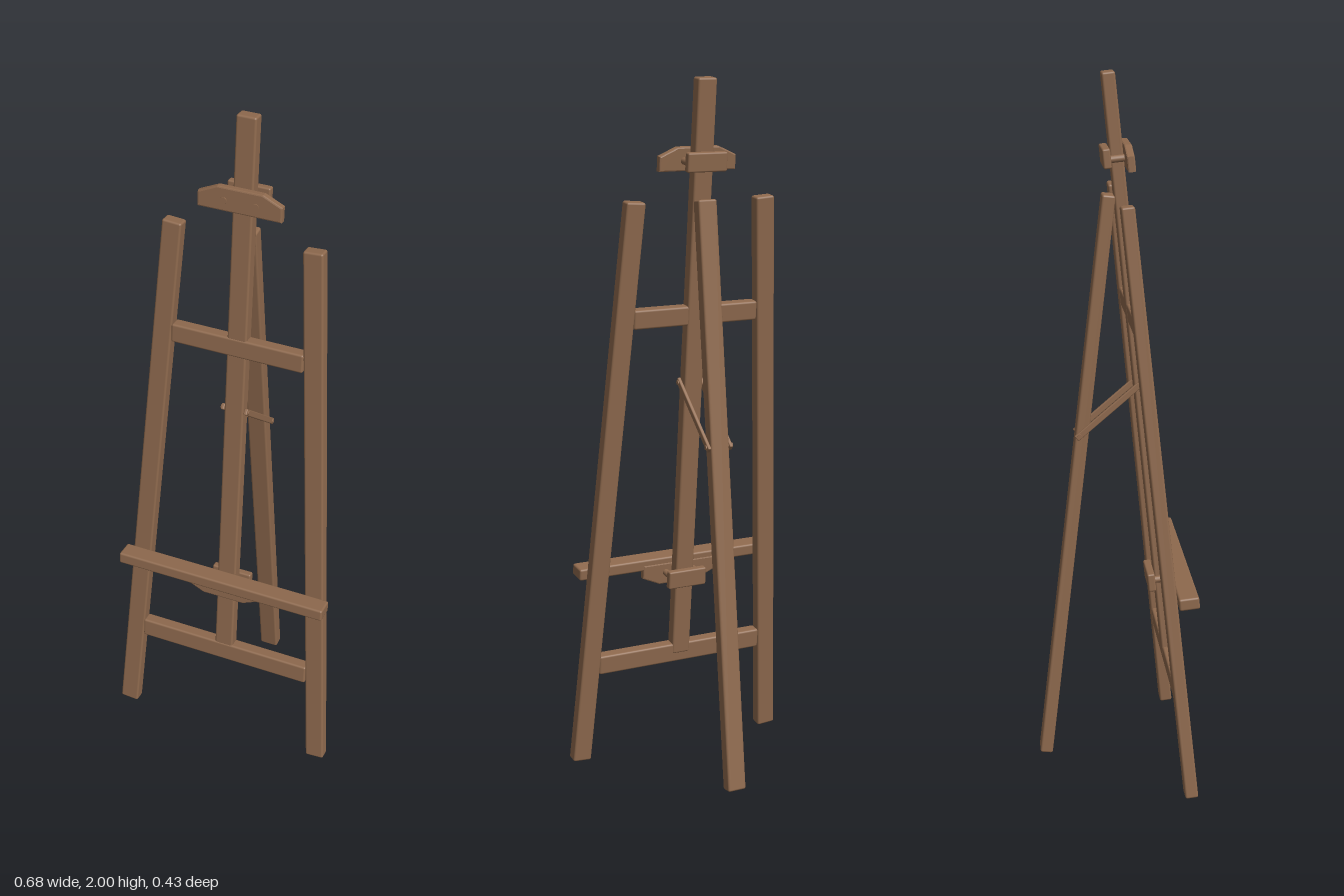
import * as THREE from 'three';
import { RoundedBoxGeometry } from 'three/addons/geometries/RoundedBoxGeometry.js';

const WIDTH = 0.056, DEPTH = 0.037; // timber section
const LEAN = 0.105;                 // backward tilt of the front frame

export function createModel() {
  const wood = new THREE.MeshStandardMaterial({ color: 0x8f6a4e });
  wood.name = 'brown wood';

  const add = (parent, name, geometry, x = 0, y = 0, z = 0) => {
    const mesh = new THREE.Mesh(geometry, wood);
    mesh.name = name;
    mesh.position.set(x, y, z);
    parent.add(mesh);
    return mesh;
  };
  const block = (w, h, d, r = 0.006) => new RoundedBoxGeometry(w, h, d, 2, r);

  // Upright timber running between two points of a group's xy plane
  const beam = (parent, name, x0, y0, x1, y1) => {
    const dx = x1 - x0, dy = y1 - y0;
    const mesh = add(parent, name, block(WIDTH, Math.hypot(dx, dy), DEPTH), (x0 + x1) / 2, (y0 + y1) / 2);
    mesh.rotation.z = -Math.atan2(dx, dy);
    return mesh;
  };

  // Round peg along an axis
  const peg = (parent, name, radius, length, axis, x, y, z) => {
    const mesh = add(parent, name, new THREE.CylinderGeometry(radius, radius, length, 16), x, y, z);
    if (axis === 'z') mesh.rotation.x = Math.PI / 2;
    else mesh.rotation.z = Math.PI / 2;
  };

  const model = new THREE.Group();
  model.name = 'easel';

  // Leaning front frame
  const frame = new THREE.Group();
  frame.name = 'frontFrame';
  frame.position.z = 0.198;
  frame.rotation.x = -LEAN;
  model.add(frame);

  beam(frame, 'mast', 0, 0.305, 0, 2.009);
  for (const side of [1, -1]) {
    beam(frame, side > 0 ? 'leftLeg' : 'rightLeg', side * 0.312, 0.004, side * 0.198, 1.679);
  }
  add(frame, 'upperCrossbar', block(0.384, 0.055, DEPTH), 0, 1.35, 0.002);
  add(frame, 'lowerCrossbar', block(0.528, 0.058, DEPTH), 0, 0.307, 0.002);
  add(frame, 'canvasTray', block(0.638, 0.035, 0.057), 0, 0.589, 0.049);

  // Sliding clamps: shaped front plate, plain back plate, two pegs
  const clamp = (name, y, flip) => {
    const group = new THREE.Group();
    group.name = name;
    group.position.y = y;
    frame.add(group);

    const bevel = 0.004, outline = new THREE.Shape();
    const half = [[0.113, -0.029], [0.113, 0.006], [0.062, 0.029]];
    const points = [...half, ...half.slice().reverse().map(([x, v]) => [-x, v])];
    outline.setFromPoints(points.map(([x, v]) => new THREE.Vector2(x, v * flip)));
    const plate = new THREE.ExtrudeGeometry(outline, {
      depth: 0.014, bevelEnabled: true, bevelSize: bevel, bevelThickness: bevel, bevelSegments: 2,
    });
    add(group, name + 'FrontPlate', plate, 0, 0, 0.0225);
    add(group, name + 'BackPlate', block(0.12, 0.054, 0.022, 0.005), 0, 0, -0.0295);
    for (const x of [-0.044, 0.044]) {
      peg(group, name + 'Peg', 0.01, 0.082, 'z', x, -0.004 * flip, 0.0015);
    }
  };
  clamp('topClamp', 1.785, 1);
  clamp('trayClamp', 0.556, -1);

  // Rear leg
  const rear = new THREE.Group();
  rear.name = 'rearSupport';
  rear.position.z = -0.198;
  rear.rotation.x = Math.atan(0.188 / 1.67);
  model.add(rear);
  beam(rear, 'rearLeg', 0, 0.003, 0, 1.68);

  // Pair of stays tying the rear leg to the mast
  const front = new THREE.Vector2(0.082, 1.145), back = new THREE.Vector2(-0.094, 0.993);
  const run = front.clone().sub(back), mid = front.clone().add(back).multiplyScalar(0.5);
  for (const x of [-0.034, 0.034]) {
    const stay = add(model, 'stay', block(0.01, 0.018, run.length() + 0.024, 0.003), x, mid.y, mid.x);
    stay.rotation.x = -Math.atan2(run.y, run.x);
  }
  for (const p of [front, back]) peg(model, 'stayPin', 0.006, 0.084, 'x', 0, p.y, p.x);

  return model;
}
